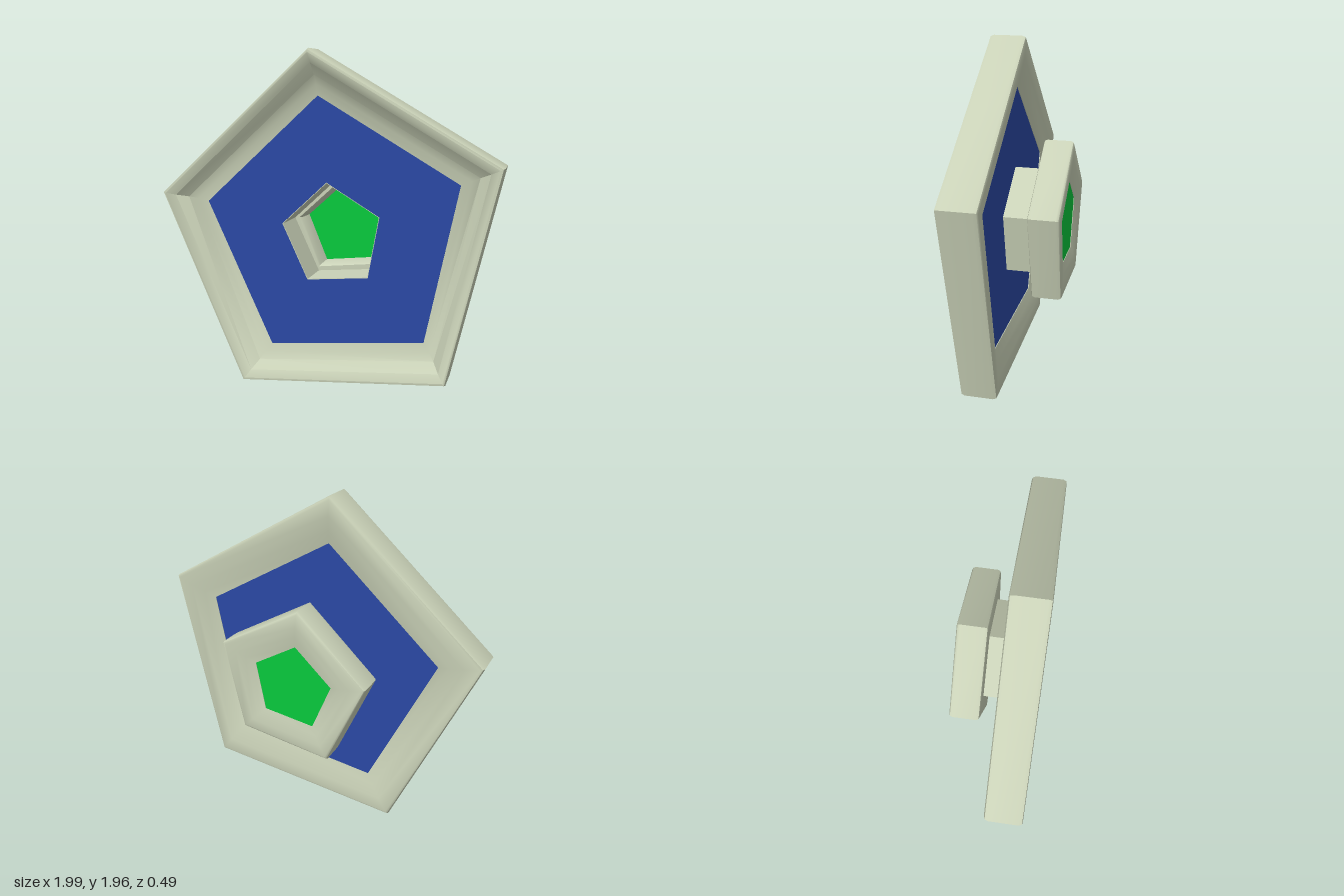
import * as THREE from 'three';
import { toCreasedNormals } from 'three/addons/utils/BufferGeometryUtils.js';

// Slightly irregular pentagons, corners clockwise from the top
const frameOuter = [[-0.07, 1.965], [0.995, 1.35], [0.725, 0.13], [-0.5, 0.005], [-0.995, 1.14]];
const frameInner = [[-0.05, 1.71], [0.76, 1.24], [0.58, 0.33], [-0.35, 0.22], [-0.75, 1.08]];
const neckOuter = [[0.0, 1.225], [0.315, 1.04], [0.25, 0.68], [-0.12, 0.64], [-0.275, 0.97]];
const headOuter = [[-0.02, 1.395], [0.475, 1.11], [0.35, 0.575], [-0.21, 0.5], [-0.435, 1.01]];
const headInner = [[0.0, 1.18], [0.27, 1.02], [0.21, 0.72], [-0.11, 0.68], [-0.23, 0.97]];

// Cross-sections as [t, z]: t = 0 on the outer pentagon, 1 on the inner one
const frameSection = [
  [0.03, 0.042], [0, 0.06], [0, 0.222], [0.03, 0.24], [0.09, 0.243],
  [0.3, 0.215], [0.55, 0.165], [0.75, 0.14], [1, 0.125],
  [1.08, 0.085], [0.8, 0.066], [0.45, 0.046], [0.09, 0.036],
];
const headSection = [
  [0.03, -0.244], [0, -0.23], [0, -0.095], [0.03, -0.08], [0.1, -0.075],
  [0.95, -0.075], [1, -0.085],
  [1.04, -0.228], [0.75, -0.24], [0.45, -0.248], [0.1, -0.25],
];
const flatSection = (z0, z1) => [[0, z0], [0, z1], [1, z1], [1, z0]];

// Scale a pentagon about the common centre
const scaled = (pts, s) => pts.map(([x, y]) => [0.034 + (x - 0.034) * s, 0.915 + (y - 0.915) * s]);

// Sweep a closed cross-section around the band between two pentagons
function ringGeometry(outer, inner, section) {
  const positions = [];
  const point = (i, j) => {
    const a = outer[i % 5];
    const b = inner[i % 5];
    const [t, z] = section[j % section.length];
    return [a[0] + (b[0] - a[0]) * t, a[1] + (b[1] - a[1]) * t, z];
  };
  for (let i = 0; i < 5; i++) {
    for (let j = 0; j < section.length; j++) {
      const a = point(i, j);
      const b = point(i, j + 1);
      const c = point(i + 1, j + 1);
      const d = point(i + 1, j);
      positions.push(...a, ...b, ...c, ...a, ...c, ...d);
    }
  }
  const geometry = new THREE.BufferGeometry();
  geometry.setAttribute('position', new THREE.Float32BufferAttribute(positions, 3));
  return toCreasedNormals(geometry, 0.75);
}

export function createModel() {
  const group = new THREE.Group();
  const material = (name, color) => {
    const m = new THREE.MeshStandardMaterial({ color });
    m.name = name;
    return m;
  };
  const stone = material('paleStone', 0xc9d1b7);
  const blue = material('deepBlue', 0x2a48a4);
  const green = material('brightGreen', 0x08c83c);

  const add = (name, mat, geometry) => {
    const mesh = new THREE.Mesh(geometry, mat);
    mesh.name = name;
    group.add(mesh);
  };

  // Large front frame, sloping in to its recessed panel
  add('largeFrame', stone, ringGeometry(frameOuter, frameInner, frameSection));
  add('bluePanel', blue, ringGeometry(frameInner, scaled(neckOuter, 0.995), flatSection(0.09, 0.128)));

  // Hollow neck joining the two frames
  add('neck', stone, ringGeometry(neckOuter, scaled(neckOuter, 0.98), flatSection(-0.085, 0.126)));

  // Small rear frame closed by a panel near its back
  add('smallFrame', stone, ringGeometry(headOuter, headInner, headSection));
  const panelShape = new THREE.Shape(scaled(headInner, 1.01).map(([x, y]) => new THREE.Vector2(x, y)));
  const panel = new THREE.ExtrudeGeometry(panelShape, { depth: 0.02, bevelEnabled: false });
  panel.translate(0, 0, -0.225);
  add('greenPanel', green, panel);

  return group;
}
